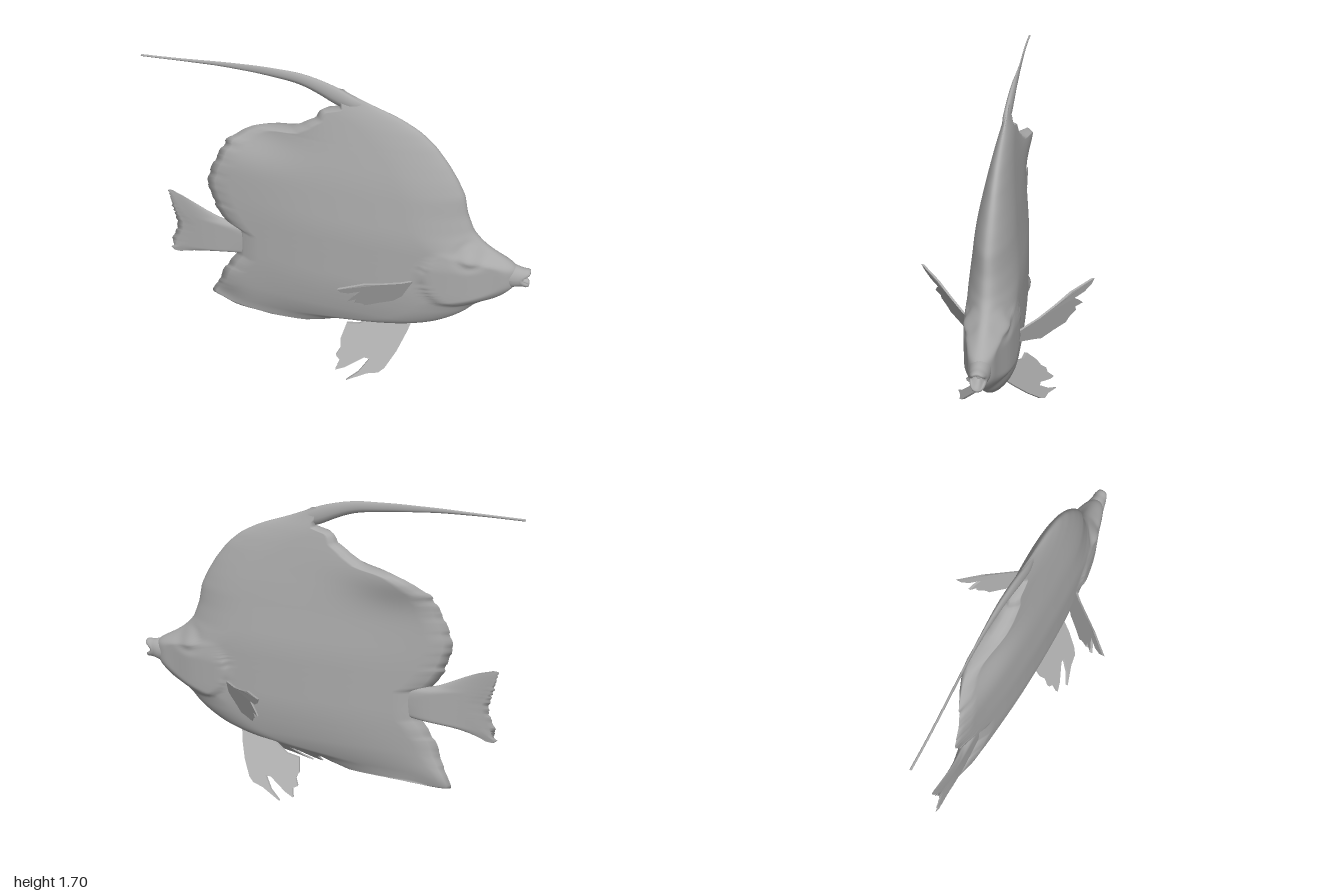
import * as THREE from 'three';

// Piecewise-linear table lookup, softened by averaging over +-r
const look = (t, x, c = 1) => {
  if (x <= t[0][0]) return t[0][c];
  for (let i = 1; i < t.length; i++) {
    const a = t[i - 1], b = t[i];
    if (x <= b[0]) return a[c] + (b[c] - a[c]) * (x - a[0]) / (b[0] - a[0]);
  }
  return t[t.length - 1][c];
};
const soft = (t, x, r, c = 1) => {
  let s = 0;
  for (let k = -3; k <= 3; k++) s += look(t, x + k * r / 3, c);
  return s / 7;
};
const hash = n => { const v = Math.sin(n * 127.1) * 43758.5; return v - Math.floor(v) - 0.5; };
const step = THREE.MathUtils.smoothstep;
const bump = (x, y, cx, cy, rx, ry) => Math.exp(-(((x - cx) / rx) ** 2) - (((y - cy) / ry) ** 2));
// Quarter-ellipse rounding: 0 at the edge, 1 from distance l inwards
const round = (d, l) => Math.sqrt(1 - (1 - Math.min(1, Math.max(0, d) / l)) ** 2);

// Closed lens-shaped skin: each ring runs from a to b on the +z side and returns on the -z side.
// place(s, t) gives the flat position, thick and center give the half thickness and middle plane.
function skin(rings, cols, range, place, thick, center) {
  const pos = [], idx = [], n = cols * 2;
  rings.forEach((s, i) => {
    const [a, b] = range(s, i);
    for (let k = 0; k < n; k++) {
      const j = k <= cols ? k : n - k, u = 1 - (1 - j / cols) ** 1.6;
      const t = a + (b - a) * u, [x, y] = place(s, t);
      const h = thick(x, y, b - t, u);
      const side = k === 0 || k === cols ? 0 : k < cols ? 1 : -1;
      pos.push(x, y, center(x, y) + side * h);
    }
    if (i) for (let k = 0; k < n; k++) {
      const p = (i - 1) * n + k, q = (i - 1) * n + (k + 1) % n;
      idx.push(p, q, q + n, p, q + n, p + n);
    }
  });
  const g = new THREE.BufferGeometry();
  g.setAttribute('position', new THREE.Float32BufferAttribute(pos, 3));
  g.setIndex(idx);
  g.computeVertexNormals();
  return g;
}
const span = (a, b, n) => Array.from({ length: n + 1 }, (_, i) => a + (b - a) * i / n);

// Thin fin cut from an outline in x/y and bent outwards by a rule for z
function finSheet(points, bend) {
  const shape = new THREE.Shape(points.map(p => new THREE.Vector2(...p)));
  const g = new THREE.ExtrudeGeometry(shape, { depth: 0.014, bevelEnabled: false });
  const p = g.attributes.position;
  for (let i = 0; i < p.count; i++) p.setZ(i, p.getZ(i) - 0.007 + bend(p.getX(i), p.getY(i)));
  g.computeVertexNormals();
  return g;
}

// Open mouth: a short tube along x whose lips part at the sides
function mouthGeometry() {
  const profile = [[0.012, -0.05], [0.022, -0.03], [0.026, -0.005], [0.032, 0.004], [0.039, 0.002], [0.043, -0.01],
    [0.042, -0.025], [0.044, -0.045], [0.052, -0.08], [0.05, -0.13]];
  const g = new THREE.LatheGeometry(profile.map(p => new THREE.Vector2(...p)), 32);
  g.rotateZ(-Math.PI / 2);
  const p = g.attributes.position;
  for (let i = 0; i < p.count; i++) {
    const x = p.getX(i), y = p.getY(i), z = p.getZ(i);
    const corner = (z * z / (y * y + z * z)) ** 3 * step(x, -0.06, 0);
    p.setXYZ(i, x - 0.033 * corner, y * 1.25, z * 0.95);
  }
  g.computeVertexNormals();
  return g;
}

// Body outline: height to rear x
const REAR = [[0.165, -0.4], [0.175, -0.64], [0.2, -0.755], [0.225, -0.765], [0.27, -0.74], [0.35, -0.69],
  [0.42, -0.665], [0.5, -0.62], [0.56, -0.575], [0.73, -0.57], [0.75, -0.61], [0.8, -0.645], [0.87, -0.68],
  [0.95, -0.7], [1.02, -0.71], [1.1, -0.68], [1.2, -0.63], [1.27, -0.59], [1.33, -0.5], [1.36, -0.42],
  [1.38, -0.28], [1.42, -0.2], [1.47, -0.12], [1.52, -0.09], [1.54, 0], [1.64, 0]];
// Body outline: height to front x
const FRONT = [[0.165, -0.22], [0.175, -0.14], [0.2, -0.06], [0.23, 0.01], [0.25, 0.1], [0.28, 0.3],
  [0.3, 0.42], [0.35, 0.56], [0.4, 0.64], [0.45, 0.7], [0.5, 0.74], [0.53, 0.78], [0.56, 0.84], [0.6, 0.885],
  [0.65, 0.925], [0.68, 0.935], [0.76, 0.935], [0.785, 0.92], [0.82, 0.86], [0.85, 0.81],
  [0.89, 0.755], [0.95, 0.7], [1.05, 0.66], [1.15, 0.64], [1.23, 0.6], [1.31, 0.55], [1.4, 0.48],
  [1.47, 0.4], [1.53, 0.29], [1.565, 0.19], [1.6, 0.1], [1.64, 0.01]];
// Half width along the length, and its share at each height
const WIDTH = [[-0.76, 0.008], [-0.6, 0.03], [-0.5, 0.05], [-0.2, 0.1], [0.1, 0.122], [0.4, 0.127],
  [0.6, 0.113], [0.7, 0.097], [0.8, 0.073], [0.9, 0.052], [1, 0.042]];
const SHARE = [[0.165, 0.05], [0.2, 0.22], [0.25, 0.45], [0.3, 0.65], [0.4, 0.85], [0.55, 1], [0.9, 1],
  [1.2, 0.74], [1.4, 0.48], [1.55, 0.26], [1.64, 0.08]];
// Tail outline: height to rear x and front x
const TAIL = [[0.5, -0.95, -0.92], [0.52, -0.97, -0.86], [0.54, -0.95, -0.77], [0.56, -0.955, -0.6],
  [0.58, -0.96, -0.42], [0.65, -0.92, -0.36], [0.7, -0.91, -0.36], [0.74, -0.918, -0.46], [0.76, -0.92, -0.62],
  [0.8, -0.93, -0.7], [0.85, -0.938, -0.79], [0.89, -0.943, -0.87], [0.906, -0.945, -0.93]];
// Streamer: x to lower y and upper y
const STREAMER = [[-1, 1.685, 1.696], [-0.8, 1.686, 1.699], [-0.6, 1.682, 1.705], [-0.4, 1.666, 1.706],
  [-0.2, 1.64, 1.698], [-0.1, 1.6, 1.677], [0, 1.545, 1.646], [0.1, 1.53, 1.595], [0.2, 1.51, 1.54]];

function bodyThickness(x, y, d, u) {
  // broadly rounded brow and belly, blunter snout, thin rear edge
  const edge = round(d, 0.3 - 0.22 * step(x + d, 0.78, 0.94)) * Math.min(1, u * 14 + 0.1);
  // raised gill cover behind the cheek, eye bulge and eye socket
  const r = Math.hypot((x - 0.665) / 0.2, (y - 0.715) / 0.195);
  const gill = 0.014 * (1 - step(r, 0.93, 1.06)) * (1 - step(x, 0.66, 0.85)) * (1 - step(y, 0.75, 0.88));
  const e = Math.hypot(x - 0.7, y - 0.85);
  const eye = 0.014 * Math.exp(-((e / 0.04) ** 2)) - 0.006 * Math.exp(-(((e - 0.065) / 0.02) ** 2));
  return Math.max(0.003, edge * (soft(WIDTH, x, 0.12) * soft(SHARE, y, 0.06) + gill + eye));
}
// Middle plane, with the soft fin edges swaying to one side
const bodyMiddle = (x, y) => 0.02 - 0.012 * step(y, 1.1, 1.6)
  - 0.05 * bump(x, y, -0.45, 1.36, 0.24, 0.13) - 0.05 * bump(x, y, -0.76, 0.22, 0.16, 0.12);

export function createModel() {
  const fish = new THREE.Group();
  fish.name = 'fish';
  const grey = new THREE.MeshStandardMaterial({ color: 0xaaaaaa, side: THREE.DoubleSide });
  grey.name = 'grey';
  const add = (name, geometry) => {
    const m = new THREE.Mesh(geometry, grey);
    m.name = name;
    fish.add(m);
    return m;
  };
  const flat = (s, t) => [t, s];

  // Body with the dorsal and anal fins, frayed along the rear edge
  add('body', skin(span(0.165, 1.64, 150), 48, (y, i) => [
    look(REAR, y) + (y > 0.78 || y < 0.5 ? 0.011 * hash(Math.floor(i / 3)) : 0),
    soft(FRONT, y, 0.018)], flat, bodyThickness, bodyMiddle));

  // Tail fin, its root tapering away inside the body
  add('tailFin', skin(span(0.5, 0.906, 44), 24, (y, i) => [
    look(TAIL, y) + 0.012 * hash(i + 7), soft(TAIL, y, 0.012, 2)], flat,
  (x, y, d, u) => Math.max(0.002, (0.005 + 0.024 * step(x, -0.9, -0.55)) * round(d, 0.2) * Math.min(1, u * 6)),
  x => 0.018 + 0.006 * Math.sin(x * 14)));

  // Long streamer, its rings running from root to tip
  add('dorsalStreamer', skin(span(0.2, -1, 60), 8, x => [soft(STREAMER, x, 0.05), soft(STREAMER, x, 0.05, 2)],
    (s, t) => [s, t], (x, y, d, u) => (0.005 + 0.013 * step(x, -0.5, 0)) * (1 - step(x, 0.04, 0.18))
      * Math.sqrt(Math.sin(Math.PI * u) + 1e-6),
    x => 0.011 + 0.007 * Math.sin(x * 5)));

  add('mouth', mouthGeometry()).position.set(0.996, 0.715, 0.018);

  // Paired fins; the right ones are held a little differently from the left
  const pectoral = [[0.48, 0.65], [0.37, 0.68], [0.29, 0.72], [0.22, 0.76], [0.11, 0.79], [0.12, 0.76],
    [0.15, 0.73], [0.2, 0.715], [0.17, 0.69], [0.14, 0.66], [0.18, 0.655], [0.17, 0.63], [0.2, 0.6],
    [0.21, 0.575], [0.27, 0.56], [0.33, 0.54], [0.38, 0.56], [0.47, 0.59]];
  const pelvic = [[0.42, 0.33], [0.4, 0.27], [0.36, 0.18], [0.31, 0.1], [0.28, 0.075], [0.22, 0.06], [0.11, 0.01],
    [0.17, 0.055], [0.22, 0.12], [0.19, 0.12], [0.14, 0.09], [0.09, 0.06], [0.04, 0.04], [0.055, 0.085],
    [0.03, 0.1], [0.05, 0.135], [0.04, 0.17], [0.06, 0.24], [0.13, 0.25], [0.2, 0.29], [0.3, 0.34]];
  const sides = [
    { word: 'left', sign: 1, reach: 1, slope: 0.95, lag: 0.4, drop: 1, spread: 0.85, twist: 0.1 },
    { word: 'right', sign: -1, reach: 0.92, slope: 1.03, lag: 0.22, drop: 0.78, spread: 0.95, twist: 0 },
  ];
  for (const s of sides) {
    add(s.word + 'PectoralFin', finSheet(pectoral.map(([x, y]) => [0.48 - (0.48 - x) * s.reach, y]), (x, y) =>
      s.sign * (0.09 + s.slope * (0.48 - x) - s.lag * Math.max(0, 0.66 + 0.35 * (0.48 - x) - y))));
    add(s.word + 'PelvicFin', finSheet(pelvic.map(([x, y]) => [x, 0.31 - (0.31 - y) * s.drop]), (x, y) =>
      s.sign * (0.05 + s.spread * (0.3 - y) - s.twist * (0.4 - x))));
  }
  return fish;
}
